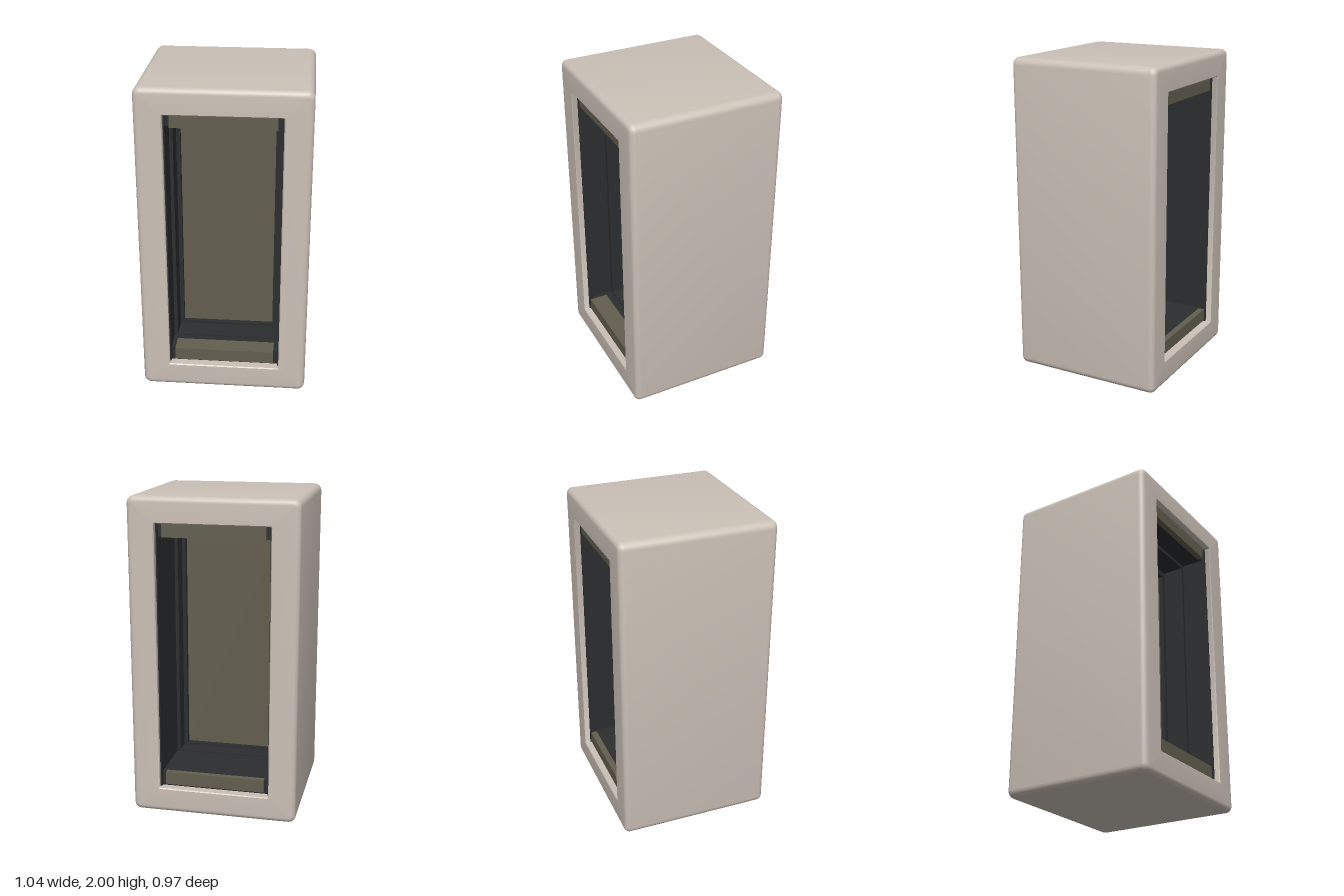
import * as THREE from 'three';
import { toCreasedNormals } from 'three/addons/utils/BufferGeometryUtils.js';

// Points of a rounded rectangle centred on y = 1, counter-clockwise seen from +z
function rectRing(hx, hy, r, z) {
  const pts = [], n = 5;
  [[1, 1], [-1, 1], [-1, -1], [1, -1]].forEach(([sx, sy], q) => {
    for (let i = 0; i <= n; i++) {
      const a = (q + i / n) * Math.PI / 2;
      pts.push([sx * (hx - r) + r * Math.cos(a), 1 + sy * (hy - r) + r * Math.sin(a), z]);
    }
  });
  return pts;
}

// Closed loft through rings: outside, front rim, opening, back rim
function shellGeometry() {
  const HX = 0.52, HY = 1, HZ = 0.485, R = 0.035, corner = 0.045;
  const holeX = 0.35, holeY = 0.84, rings = [], steps = 6;
  const outer = (a, s) => {
    const t = R * (1 - Math.cos(a));
    rings.push(rectRing(HX - t, HY - t, corner - t, s * (HZ - R + R * Math.sin(a))));
  };
  for (let i = steps; i >= 0; i--) outer(i / steps * Math.PI / 2, -1);
  for (let i = 0; i <= steps; i++) outer(i / steps * Math.PI / 2, 1);
  for (const s of [1, -1]) {
    const lips = [rectRing(holeX + 0.006, holeY + 0.006, 0.012, s * HZ),
      rectRing(holeX, holeY, 0.006, s * (HZ - 0.006))];
    rings.push(...(s > 0 ? lips : lips.reverse()));
  }
  const n = rings[0].length, index = [];
  rings.forEach((ring, k) => {
    const k2 = (k + 1) % rings.length;
    for (let j = 0; j < n; j++) {
      const j2 = (j + 1) % n;
      const a = k * n + j, b = k * n + j2, c = k2 * n + j2, d = k2 * n + j;
      index.push(a, b, c, a, c, d);
    }
  });
  const g = new THREE.BufferGeometry();
  g.setAttribute('position', new THREE.Float32BufferAttribute(rings.flat(2), 3));
  g.setIndex(index);
  return toCreasedNormals(g, 0.6);
}

export function createModel() {
  const material = (name, color) => {
    const m = new THREE.MeshStandardMaterial({ color });
    m.name = name;
    return m;
  };
  const stone = material('pale stone', 0xcbc1b7);
  const dark = material('dark metal', 0x2b2d2f);
  const olive = material('olive glass', 0x625e4f);

  const model = new THREE.Group();
  model.name = 'windowBox';

  // Box given by its extents on each axis
  const box = (name, mat, [x0, x1], [y0, y1], [z0, z1], parent = model) => {
    const mesh = new THREE.Mesh(new THREE.BoxGeometry(x1 - x0, y1 - y0, z1 - z0), mat);
    mesh.position.set((x0 + x1) / 2, (y0 + y1) / 2, (z0 + z1) / 2);
    mesh.name = name;
    parent.add(mesh);
  };
  // Four boards around an opening
  const frame = (name, hx, y0, y1, z, zSill = z) => {
    const group = new THREE.Group();
    group.name = name;
    box(name + 'Left', dark, [hx, 0.36], [0.15, 1.85], z, group);
    box(name + 'Right', dark, [-0.36, -hx], [0.15, 1.85], z, group);
    box(name + 'Top', dark, [-hx, hx], [y1, 1.85], zSill, group);
    box(name + 'Bottom', dark, [-hx, hx], [0.15, y0], zSill, group);
    model.add(group);
  };

  const shell = new THREE.Mesh(shellGeometry(), stone);
  shell.name = 'shell';
  model.add(shell);

  // Stepped lining of the tunnel
  frame('lining', 0.342, 0.252, 1.757, [-0.45, 0.45], [-0.425, 0.425]);
  frame('windowFrame', 0.32, 0.262, 1.732, [-0.07, 0.28]);
  frame('innerLip', 0.295, 0.28, 1.695, [0.03, 0.14]);

  // Pane in the middle
  box('pane', olive, [-0.3, 0.3], [0.275, 1.7], [0.06, 0.11]);

  // Cross bars at both openings
  const barX = [-0.315, 0.315];
  box('frontTopBar', olive, barX, [1.755, 1.838], [0.41, 0.45]);
  box('frontBottomBar', olive, barX, [0.178, 0.258], [0.33, 0.45]);
  box('backTopBar', olive, barX, [1.755, 1.838], [-0.45, -0.41]);
  box('backBottomBar', olive, barX, [0.178, 0.258], [-0.45, -0.41]);

  return model;
}
